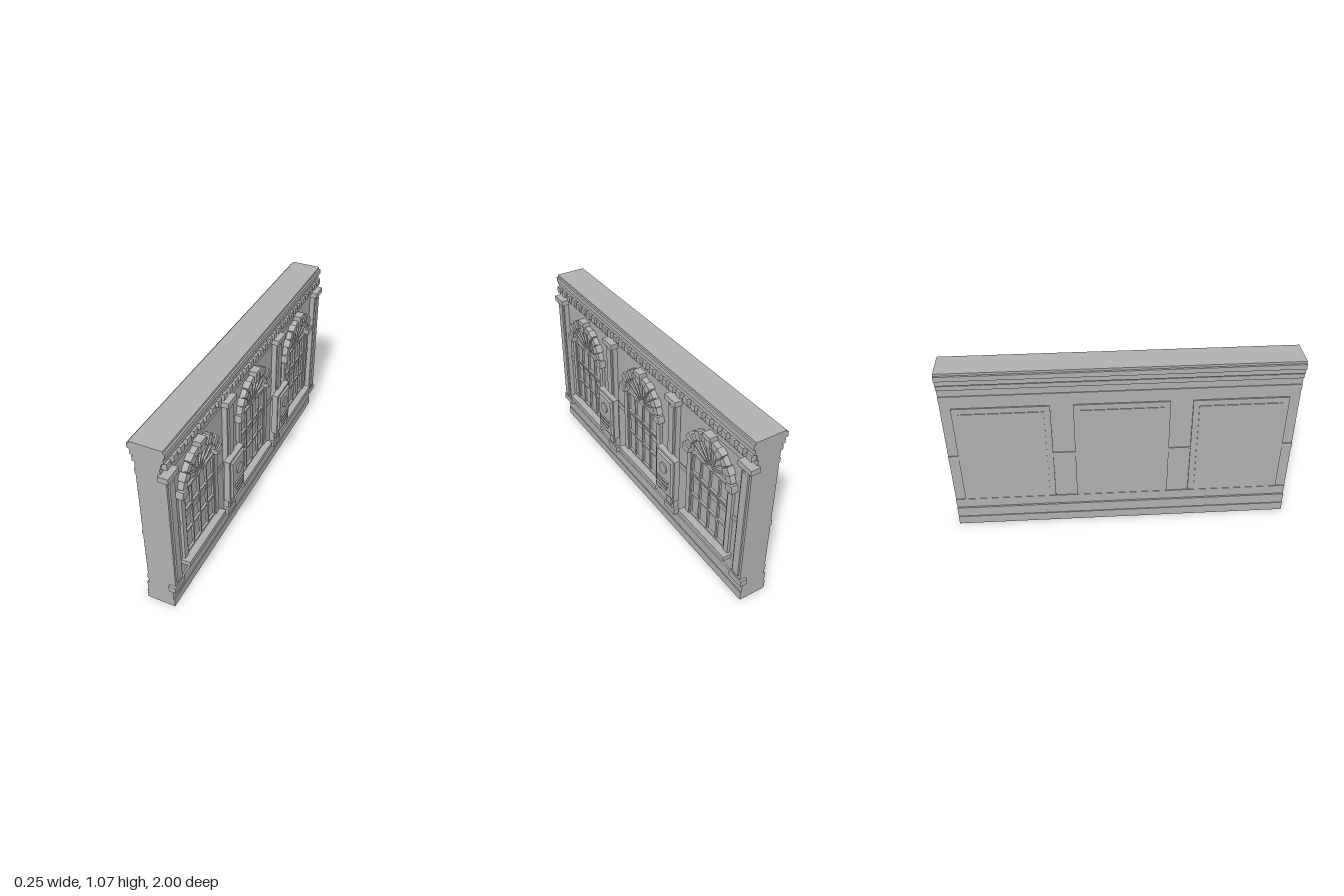
import * as THREE from 'three';

const stone = new THREE.MeshStandardMaterial({ color: 0xb0b0b0 });
stone.name = 'grey stone';

// The decorated face looks along +x; the wall runs along z.
function add(parent, name, geometry) {
  const m = new THREE.Mesh(geometry, stone);
  m.name = name;
  parent.add(m);
  return m;
}

// Box from its limits, with z given as centre and width
function block(parent, name, x0, x1, y0, y1, zc, w) {
  const m = add(parent, name, new THREE.BoxGeometry(x1 - x0, y1 - y0, w));
  m.position.set((x0 + x1) / 2, (y0 + y1) / 2, zc);
  return m;
}

// Flat outline pushed out along +x between x0 and x1
function relief(parent, name, shape, x0, x1) {
  const g = new THREE.ExtrudeGeometry(shape, { depth: x1 - x0, bevelEnabled: false, curveSegments: 24 });
  g.rotateY(Math.PI / 2);
  g.translate(x0, 0, 0);
  return add(parent, name, g);
}

const polygon = pts => new THREE.Shape(pts.map(p => new THREE.Vector2(...p)));

// Tapered slab whose front is smaller than its back
function taperedSlab(parent, name, x0, x1, y0, y1, zc, w, inset) {
  const m = block(parent, name, x0, x1, y0, y1, zc, w);
  const p = m.geometry.attributes.position;
  for (let i = 0; i < p.count; i++) {
    if (p.getX(i) > 0) {
      p.setY(i, p.getY(i) - Math.sign(p.getY(i)) * inset);
      p.setZ(i, p.getZ(i) - Math.sign(p.getZ(i)) * inset);
    }
  }
  m.geometry.computeVertexNormals();
}

// Solid wall with plinth, rails and cornice: [bottom, top, back x, front x]
function makeWall(group) {
  const courses = [
    [0, 0.055, -0.11, 0.052], [0.055, 0.12, -0.105, 0.047], [0.12, 0.15, -0.095, 0.037],
    [0.15, 0.185, -0.1, 0.037], [0.185, 0.48, -0.095, 0.037], [0.48, 0.51, -0.1, 0.042],
    [0.51, 0.885, -0.095, 0.037], [0.885, 0.915, -0.1, 0.04], [0.915, 0.96, -0.095, 0.037],
    [0.96, 0.987, -0.107, 0.045], [0.987, 0.995, -0.1, 0.05], [0.995, 1.028, -0.115, 0.06],
    [1.028, 1.057, -0.127, 0.07], [1.057, 1.07, -0.115, 0.06],
  ];
  const front = courses.flatMap(([a, b, , x]) => [[x, a], [x, b]]);
  const back = courses.flatMap(([a, b, x]) => [[x, a], [x, b]]).reverse();
  const g = new THREE.ExtrudeGeometry(polygon([...front, ...back]), { depth: 1.97, bevelEnabled: false });
  g.translate(0, 0, -0.985);
  add(group, 'wall', g);
  for (let i = 0; i < 31; i++) block(group, 'dentil', 0.03, 0.073, 0.957, 0.995, -0.96 + i * 0.064, 0.038);
  // Back panels
  for (const z of [-0.66, 0, 0.66]) {
    block(group, 'backPanelFrame', -0.103, -0.09, 0.19, 0.835, z, 0.535);
    block(group, 'backPanel', -0.107, -0.09, 0.225, 0.8, z, 0.465);
  }
}

function makeWindow() {
  const w = new THREE.Group();
  w.name = 'window';
  const spring = 0.67, r = 0.16, face = 0.035;

  // Moulded surround following the arch
  const surround = new THREE.Shape();
  surround.moveTo(0.195, 0.235);
  surround.lineTo(0.195, spring);
  surround.absarc(0, spring, 0.195, 0, Math.PI, false);
  surround.lineTo(-0.195, 0.235);
  surround.lineTo(-r, 0.235);
  surround.lineTo(-r, spring);
  surround.absarc(0, spring, r, Math.PI, 0, true);
  surround.lineTo(r, 0.235);
  relief(w, 'surround', surround, face, 0.054);
  block(w, 'sill', face, 0.09, 0.205, 0.235, 0, 0.42);

  // Arch stones, alternating long and short
  const n = 13, step = Math.PI / n;
  for (let i = 0; i < n; i++) {
    if (i === (n - 1) / 2) continue;
    const a = i * step + 0.012, b = (i + 1) * step - 0.012, out = i % 2 ? 0.2 : 0.212;
    const s = new THREE.Shape();
    s.absarc(0, spring, out, a, b, false);
    s.absarc(0, spring, r, b, a, true);
    relief(w, 'archStone', s, face, i % 2 ? 0.069 : 0.076);
  }
  relief(w, 'keystone', polygon([[-0.022, 0.825], [0.022, 0.825], [0.027, 0.88], [-0.027, 0.88]]), face, 0.08);
  block(w, 'keystoneCap', face, 0.085, 0.872, 0.9, 0, 0.062);

  // Glazing bars
  for (const y of [0.245, 0.39, 0.54, spring]) block(w, 'crossBar', face, 0.05, y - 0.006, y + 0.006, 0, 2 * r);
  for (const z of [-0.154, -0.08, 0, 0.08, 0.154]) block(w, 'uprightBar', face, 0.048, 0.235, spring, z, 0.011);
  for (let i = 1; i < 8; i++) {
    const a = i * Math.PI / 8, d = 0.09;
    const bar = block(w, 'fanBar', face, 0.048, 0, 0.148, 0, 0.009);
    bar.position.set(bar.position.x, spring + d * Math.sin(a), d * Math.cos(a));
    bar.rotation.x = Math.PI / 2 - a;
  }
  const hub = new THREE.Shape();
  hub.absarc(0, spring, 0.025, 0, Math.PI, false);
  relief(w, 'fanHub', hub, face, 0.05);
  return w;
}

function makePilaster(group, z) {
  const p = new THREE.Group();
  p.name = 'pilaster';
  block(p, 'shaft', 0.035, 0.067, 0.165, 0.895, z, 0.072);
  block(p, 'shaftPanel', 0.06, 0.076, 0.19, 0.87, z, 0.046);
  block(p, 'base', 0.033, 0.073, 0.13, 0.168, z, 0.1);
  block(p, 'capitalNeck', 0.035, 0.08, 0.885, 0.9, z, 0.08);
  block(p, 'capital', 0.03, 0.085, 0.893, 0.925, z, 0.1);
  group.add(p);
}

function makePlaque(group, z) {
  const p = new THREE.Group();
  p.name = 'plaque';
  block(p, 'plaqueBack', 0.07, 0.105, 0.28, 0.565, z, 0.18);
  taperedSlab(p, 'plaqueFace', 0.105, 0.116, 0.292, 0.553, z, 0.156, 0.008);
  const disc = add(p, 'medallion', new THREE.CylinderGeometry(0.033, 0.033, 0.012, 32));
  disc.rotation.z = Math.PI / 2;
  disc.position.set(0.118, 0.472, z);
  [[0.39, 0.1], [0.365, 0.1], [0.34, 0.075]].forEach(([y, w]) =>
    block(p, 'plaqueBar', 0.112, 0.124, y - 0.005, y + 0.005, z, w));
  group.add(p);
}

export function createModel() {
  const group = new THREE.Group();
  group.name = 'arcadeWall';
  makeWall(group);
  for (const z of [-0.655, 0, 0.655]) {
    const w = makeWindow();
    w.position.z = z;
    group.add(w);
  }
  for (const z of [-0.95, -0.33, 0.33, 0.95]) makePilaster(group, z);
  for (const z of [-0.33, 0.33]) makePlaque(group, z);
  return group;
}
